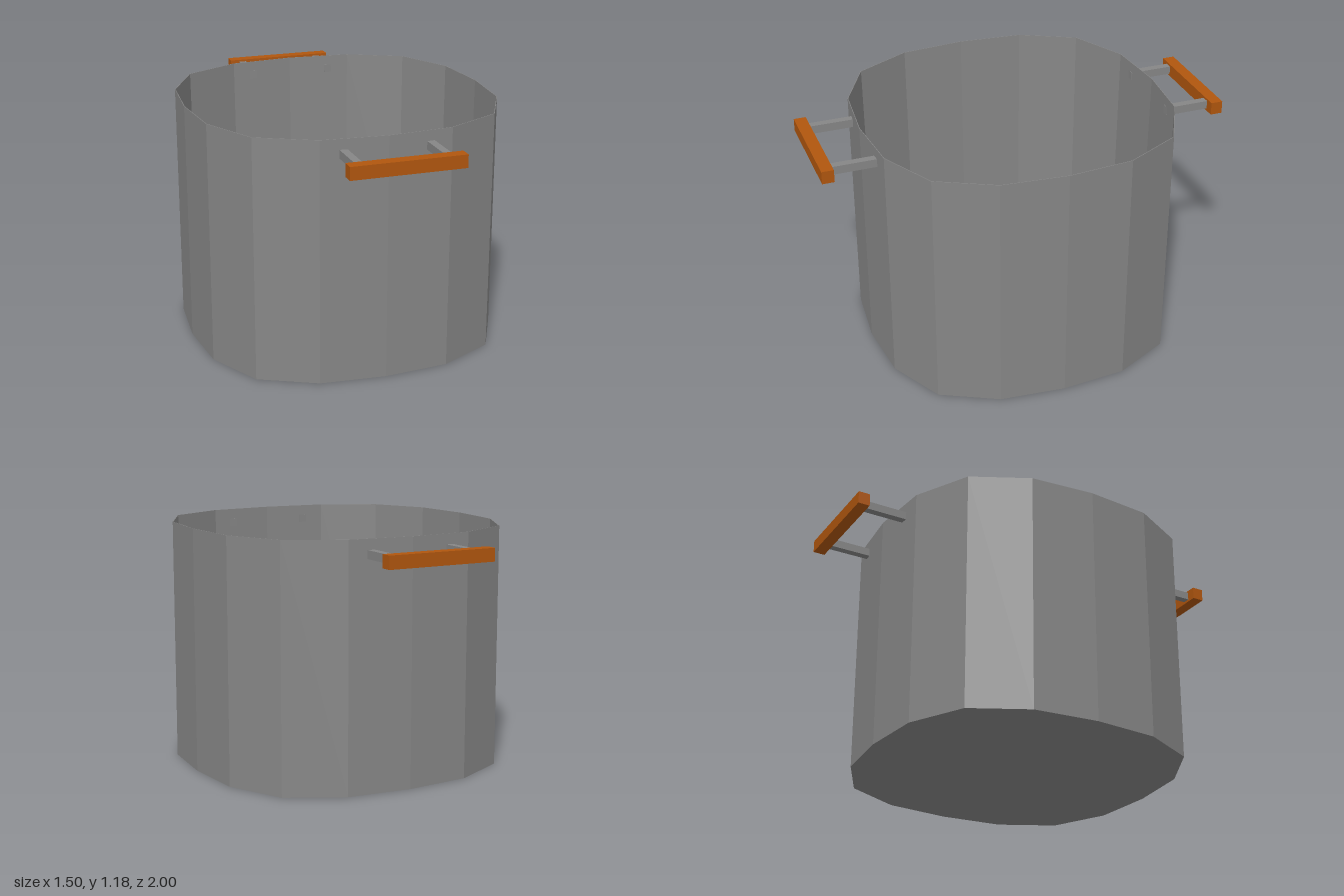
import * as THREE from 'three';

// Outline of one quarter of the pot: 16 corners in all, a softened square
const corners = [[0, 0.75], [0.316, 0.722], [0.585, 0.585], [0.722, 0.316]];
const radii = corners.map(([x, z]) => Math.hypot(x, z));
const angles = corners.map(([x, z]) => Math.atan2(x, z));

export function createModel() {
  const steel = new THREE.MeshStandardMaterial({ color: 0x868686, flatShading: true });
  steel.name = 'steel grey';
  const wood = new THREE.MeshStandardMaterial({ color: 0xb0560e, flatShading: true });
  wood.name = 'orange brown wood';

  const group = new THREE.Group();
  group.name = 'cookingPot';

  // Pot: closed profile with a thin wall, tapering slightly inside
  const profile = [[0, 0], [1, 0], [1, 1.179], [0.996, 1.179], [0.982, 0.01], [0, 0.01]]
    .map(([r, y]) => new THREE.Vector2(r, y));
  const lathe = new THREE.LatheGeometry(profile, 16);
  const pos = lathe.attributes.position;
  for (let i = 0; i < pos.count; i++) {
    // move each column of the lathe onto its outline corner
    const column = Math.floor(i / profile.length);
    const k = column % 4;
    const angle = Math.floor(column / 4) * Math.PI / 2 + angles[k];
    const r = profile[i % profile.length].x * radii[k];
    pos.setX(i, r * Math.sin(angle));
    pos.setZ(i, r * Math.cos(angle));
  }
  const potGeometry = lathe.toNonIndexed();
  potGeometry.computeVertexNormals();
  const pot = new THREE.Mesh(potGeometry, steel);
  pot.name = 'potBody';
  group.add(pot);

  const box = (name, size, at, material, parent) => {
    const mesh = new THREE.Mesh(new THREE.BoxGeometry(...size), material);
    mesh.name = name;
    mesh.position.set(...at);
    parent.add(mesh);
  };

  // Handles at front and back: a wooden grip on two steel posts
  for (const side of [1, -1]) {
    const handle = new THREE.Group();
    handle.name = side > 0 ? 'frontHandle' : 'backHandle';
    box('grip', [0.544, 0.062, 0.058], [0, 1.108, side * 0.971], wood, handle);
    for (const x of [-0.207, 0.207]) {
      box('post', [0.037, 0.04, 0.22], [x, 1.109, side * 0.836], steel, handle);
    }
    group.add(handle);
  }
  return group;
}
